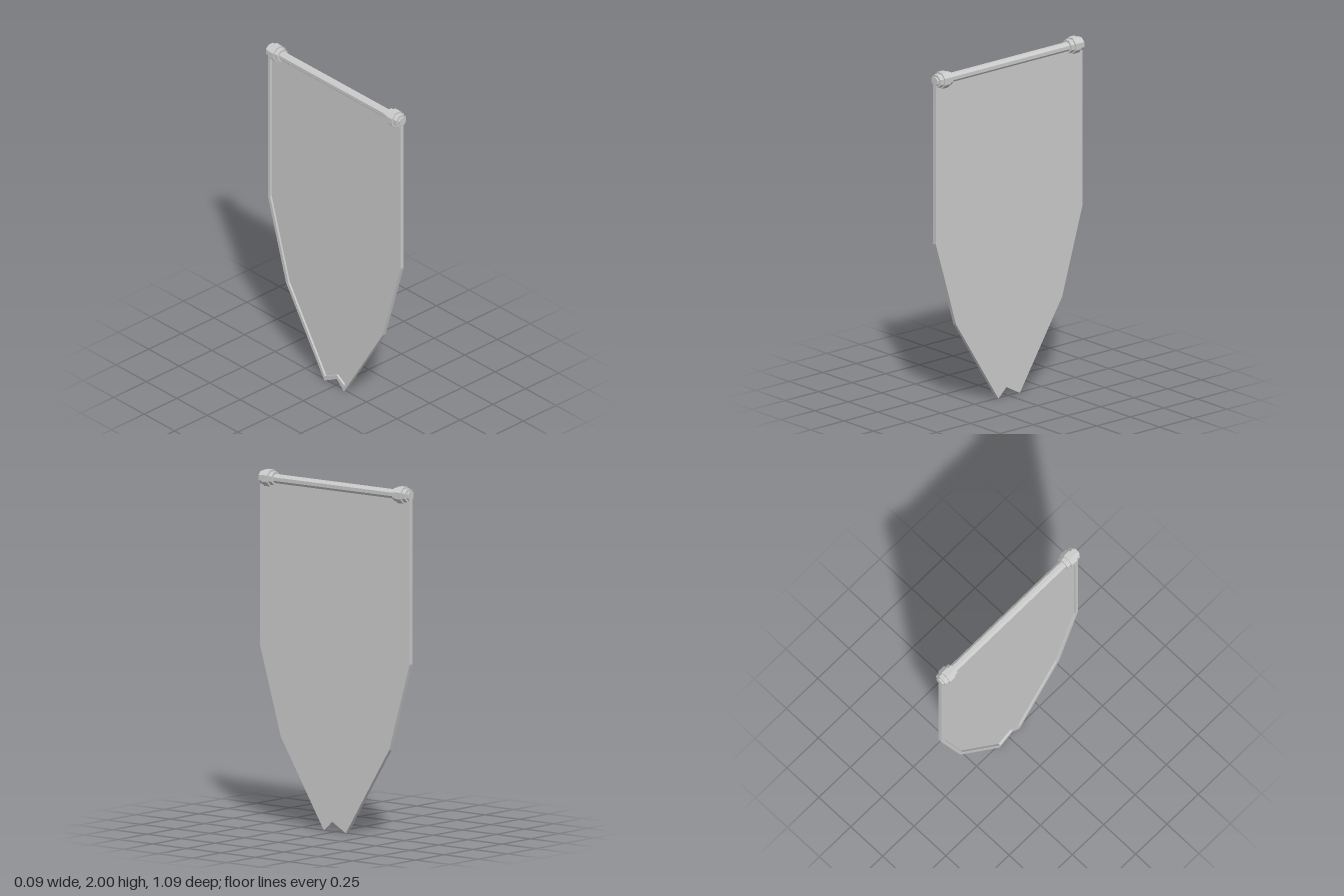
import * as THREE from 'three';

const ROD_Y = 1.954;
const grey = new THREE.MeshStandardMaterial({ color: 0xcccccc, flatShading: true });

// Eight-sided bar along z with flat top; size is half the width across flats
function octBar(name, size, z0, z1) {
  const geo = new THREE.CylinderGeometry(size / Math.cos(Math.PI / 8), size / Math.cos(Math.PI / 8), z1 - z0, 8);
  geo.rotateY(Math.PI / 8);
  geo.rotateX(Math.PI / 2);
  const mesh = new THREE.Mesh(geo, grey);
  mesh.name = name;
  mesh.position.set(0, ROD_Y, (z0 + z1) / 2);
  return mesh;
}

// Slab with its outline in the z-y plane, from x0 to x1
function slab(name, shape, x0, x1) {
  const geo = new THREE.ExtrudeGeometry(shape, { depth: x1 - x0, bevelEnabled: false });
  geo.rotateY(Math.PI / 2);
  geo.translate(x0, 0, 0);
  const mesh = new THREE.Mesh(geo, grey);
  mesh.name = name;
  return mesh;
}

// Outline points are [z, y]; shape x becomes -z after the turn
const toPoints = (list) => list.map(([z, y]) => new THREE.Vector2(-z, y));

export function createModel() {
  const model = new THREE.Group();
  model.name = 'hangingBanner';

  // Cloth with tapered sides and a notched tip
  const outer = [[0.545, 1.955], [0.545, 1], [0.395, 0.5], [0.08, 0], [0.02, 0.055], [-0.08, 0],
    [-0.395, 0.5], [-0.545, 1], [-0.545, 1.955]];
  const inner = [[0.525, 1.935], [0.525, 1.003], [0.376, 0.508], [0.082, 0.04], [0.02, 0.08], [-0.076, 0.03],
    [-0.376, 0.508], [-0.525, 1.003], [-0.525, 1.935]];
  model.add(slab('cloth', new THREE.Shape(toPoints(outer)), -0.002, 0.01));

  // Raised hem around the back of the cloth
  const hem = new THREE.Shape(toPoints(outer));
  hem.holes.push(new THREE.Path(toPoints(inner)));
  model.add(slab('hem', hem, -0.014, -0.002));

  // Rod with a stepped knob at each end
  model.add(octBar('rod', 0.0245, -0.546, 0.546));
  for (const side of [1, -1]) {
    const knob = new THREE.Group();
    knob.name = side > 0 ? 'frontKnob' : 'backKnob';
    const part = (name, size, a, b) => knob.add(octBar(name, size, Math.min(a * side, b * side), Math.max(a * side, b * side)));
    part('collar', 0.037, 0.439, 0.535);
    part('ring', 0.046, 0.465, 0.508);
    model.add(knob);
  }
  return model;
}
